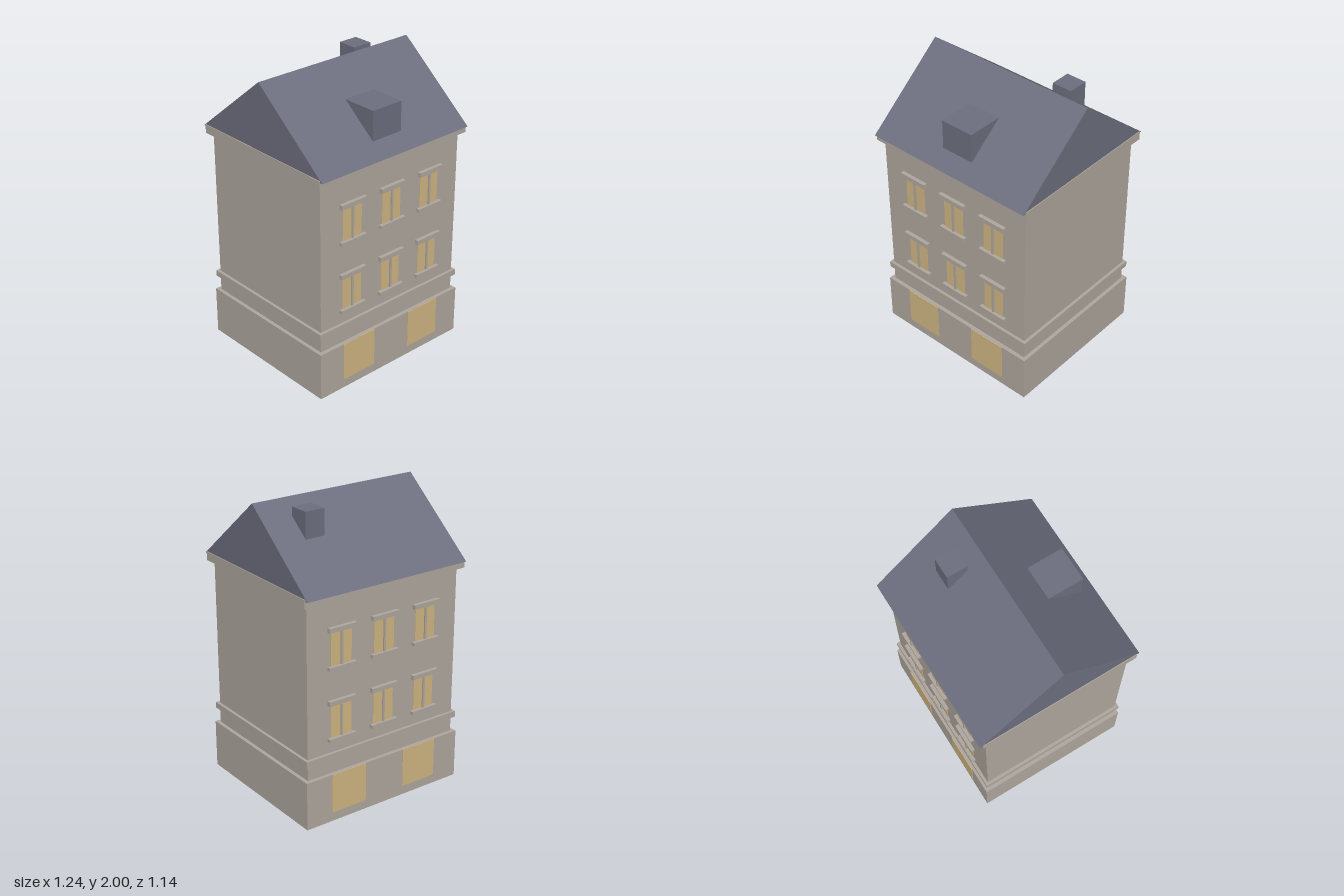
import * as THREE from 'three';

export function createModel() {
  const model = new THREE.Group();
  model.name = 'townHouse';
  const mat = (name, color) => {
    const m = new THREE.MeshStandardMaterial({ color });
    m.name = name;
    return m;
  };
  const stone = mat('warm grey stone', 0xb0a89f);
  const slate = mat('blue grey slate', 0x6d6f7f);
  const glass = mat('warm lit glass', 0xd0b683);

  // Box given by its limits on each axis
  const block = (parent, name, material, [x0, x1], [y0, y1], [z0, z1]) => {
    const mesh = new THREE.Mesh(new THREE.BoxGeometry(x1 - x0, y1 - y0, z1 - z0), material);
    mesh.position.set((x0 + x1) / 2, (y0 + y1) / 2, (z0 + z1) / 2);
    mesh.name = name;
    parent.add(mesh);
  };
  const tier = (name, hx, y, hz) => block(model, name, stone, [-hx, hx], y, [-hz, hz]);

  // Side profile in (z, y), extruded along x
  const prism = (name, points, x0, x1) => {
    const shape = new THREE.Shape(points.map(([z, y]) => new THREE.Vector2(-z, y)));
    const geo = new THREE.ExtrudeGeometry(shape, { depth: x1 - x0, bevelEnabled: false });
    geo.rotateY(Math.PI / 2).translate(x0, 0, 0);
    const mesh = new THREE.Mesh(geo, slate);
    mesh.name = name;
    model.add(mesh);
  };

  // Stacked masonry
  tier('groundFloor', 0.61, [0, 0.332], 0.54);
  tier('walls', 0.585, [0.332, 1.49], 0.513);
  tier('beltCourse', 0.605, [0.435, 0.477], 0.533);
  tier('cornice', 0.62, [1.492, 1.551], 0.548);

  // Roof, dormer and chimney
  prism('roof', [[0.569, 1.538], [0, 2], [-0.569, 1.538]], -0.615, 0.615);
  prism('dormer', [[0.465, 1.6], [0.465, 1.822], [0.2, 1.822]], -0.118, 0.118);
  block(model, 'chimney', slate, [0.26, 0.4], [1.75, 1.97], [-0.25, -0.11]);

  // Window with lintel, sill and mullion
  const addWindow = (parent, x, y) => {
    const win = new THREE.Group();
    win.name = 'window';
    win.position.set(x, y, 0.513);
    block(win, 'pane', glass, [-0.078, 0.078], [0.02, 0.25], [-0.005, 0.004]);
    block(win, 'mullion', stone, [-0.007, 0.007], [0.02, 0.25], [-0.005, 0.014]);
    block(win, 'lintel', stone, [-0.102, 0.102], [0.248, 0.279], [-0.005, 0.026]);
    block(win, 'sill', stone, [-0.102, 0.102], [0, 0.023], [-0.005, 0.026]);
    parent.add(win);
  };

  // The same openings on the front and the back
  for (const [name, turn] of [['frontFacade', 0], ['backFacade', Math.PI]]) {
    const facade = new THREE.Group();
    facade.name = name;
    facade.rotation.y = turn;
    for (const y of [0.557, 1.041])
      for (const x of [-0.33, 0, 0.33]) addWindow(facade, x, y);
    for (const x of [-0.285, 0.285])
      block(facade, 'shopWindow', glass, [x - 0.133, x + 0.133], [0.063, 0.331], [0.537, 0.544]);
    model.add(facade);
  }
  return model;
}
